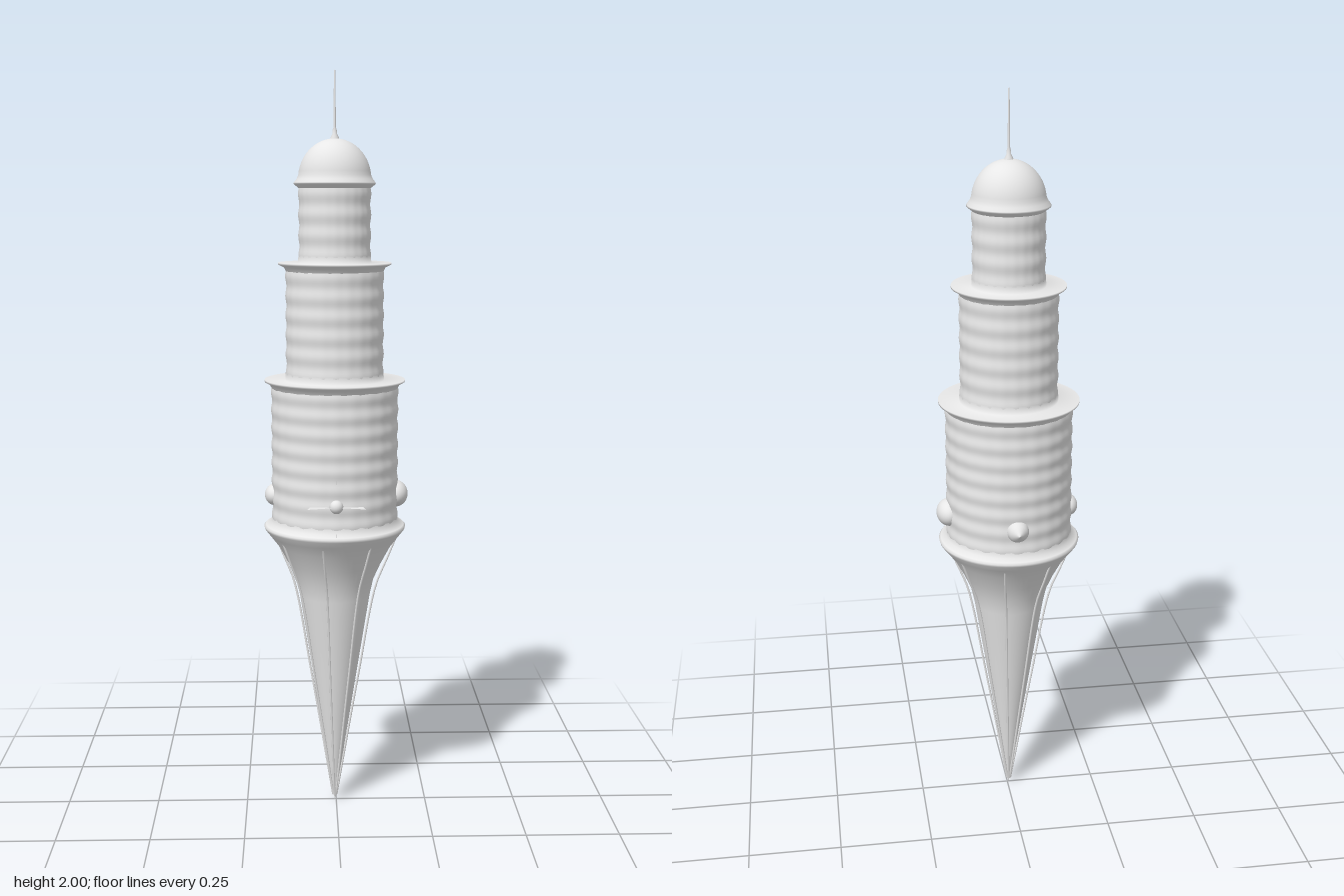
import * as THREE from 'three';
import { mergeVertices } from 'three/addons/utils/BufferGeometryUtils.js';

export function createModel() {
  const model = new THREE.Group();
  model.name = 'floatingTower';
  const tower = new THREE.Group();
  tower.name = 'tower';
  tower.position.x = -0.004;
  model.add(tower);

  const stone = new THREE.MeshStandardMaterial({ color: 0xededed, side: THREE.DoubleSide });
  stone.name = 'paleGrey';

  const add = (name, geometry, parent = tower) => {
    const mesh = new THREE.Mesh(geometry, stone);
    mesh.name = name;
    parent.add(mesh);
    return mesh;
  };
  const lathe = (name, points, segments = 64) =>
    add(name, new THREE.LatheGeometry(points.map(([r, y]) => new THREE.Vector2(r, y)), segments));

  // Wall with soft horizontal rings and shallow upright flutes
  const wall = (name, radius, y0, y1, rings) => {
    const points = [];
    const steps = rings * 8;
    for (let i = 0; i <= steps; i++) {
      const t = i / steps;
      const swell = 0.0016 * Math.cos(t * rings * Math.PI * 2);
      points.push(new THREE.Vector2(radius - 0.0016 - swell, y0 + (y1 - y0) * t));
    }
    let geometry = new THREE.LatheGeometry(points, 120);
    const p = geometry.attributes.position;
    for (let i = 0; i < p.count; i++) {
      const k = 1 + 0.003 * Math.cos(24 * Math.atan2(p.getX(i), p.getZ(i)));
      p.setX(i, p.getX(i) * k);
      p.setZ(i, p.getZ(i) * k);
    }
    geometry.deleteAttribute('uv');
    geometry.deleteAttribute('normal');
    geometry = mergeVertices(geometry, 1e-5);
    geometry.computeVertexNormals();
    add(name, geometry);
  };

  // Three stepped storeys
  wall('lowerStorey', 0.171, 0.8, 1.185, 8);
  wall('middleStorey', 0.131, 1.185, 1.495, 6);
  wall('upperStorey', 0.096, 1.495, 1.71, 4);

  // Thin balconies, curving softly into the storey above
  const balcony = (name, wallR, rimR, innerR, y) =>
    lathe(name, [[wallR - 0.002, y - 0.02], [wallR + 0.005, y - 0.007], [rimR, y],
      [rimR, y + 0.005], [innerR + 0.002, y + 0.003], [innerR + 0.001, y + 0.025]]);
  balcony('lowerBalcony', 0.17, 0.188, 0.13, 1.19);
  balcony('middleBalcony', 0.13, 0.15, 0.095, 1.5);

  // Flared keel tapering to a point, with a rounded shelf on top
  lathe('keel', [[0, 0], [0.004, 0.02], [0.028, 0.17], [0.061, 0.38], [0.096, 0.6], [0.106, 0.645],
    [0.126, 0.69], [0.153, 0.74], [0.176, 0.77], [0.19, 0.788], [0.192, 0.795], [0.187, 0.8],
    [0.172, 0.806], [0.17, 0.825]]);

  // Eight ribs running down the keel
  const ribCurve = new THREE.CatmullRomCurve3([
    [0.168, 0.765], [0.142, 0.7], [0.114, 0.63], [0.066, 0.37], [0.005, 0.015],
  ].map(([r, y]) => new THREE.Vector3(0, y, r)));
  for (let i = 0; i < 8; i++) {
    add('keelRib', new THREE.TubeGeometry(ribCurve, 24, 0.003, 6))
      .rotation.y = THREE.MathUtils.degToRad(-12 + i * 45);
  }

  // Dome flowing out into its eave
  const dome = [[0.094, 1.698], [0.108, 1.709], [0.107, 1.713], [0.1, 1.722]];
  for (let i = 1; i <= 16; i++) {
    const a = (i / 16) * Math.PI / 2;
    dome.push([0.096 * Math.cos(a), 1.722 + 0.104 * Math.sin(a)]);
  }
  lathe('dome', dome);

  // Finial and needle
  lathe('finial', [[0.012, 1.82], [0.011, 1.828], [0.006, 1.838], [0.006, 1.845], [0.003, 1.855],
    [0.0027, 1.92], [0.002, 1.998], [0, 2]], 16);

  // Oval pods on the two sides
  const pod = (name, x, z, sx, sy, sz) => {
    const mesh = add(name, new THREE.SphereGeometry(1, 32, 20));
    mesh.position.set(x, 0.88, z);
    mesh.scale.set(sx, sy, sz);
  };
  pod('leftPod', 0.165, -0.006, 0.034, 0.036, 0.048);
  pod('rightPod', -0.162, 0, 0.028, 0.029, 0.04);

  // Pointed cone at the back
  const nozzle = lathe('backNozzle', [[0.03, 0.155], [0.029, 0.17], [0.023, 0.181], [0.01, 0.193], [0, 0.201]], 24);
  nozzle.rotation.x = -Math.PI / 2;
  nozzle.position.y = 0.88;

  // Front propeller: hub and four thin blades that widen outwards
  const propeller = new THREE.Group();
  propeller.name = 'propeller';
  propeller.position.set(0, 0.88, 0);
  tower.add(propeller);
  const hub = add('propellerHub', new THREE.SphereGeometry(0.018, 20, 14), propeller);
  hub.position.z = 0.17;
  const bladeShape = new THREE.Shape([[0, 0.178], [0.07, 0.17], [0.076, 0.2], [0.03, 0.187]]
    .map(([r, z]) => new THREE.Vector2(r, z)));
  for (let i = 0; i < 4; i++) {
    const blade = new THREE.Group();
    blade.name = 'propellerBlade';
    blade.rotation.z = i * Math.PI / 2;
    propeller.add(blade);
    add('bladePlate', new THREE.ShapeGeometry(bladeShape), blade).rotation.x = Math.PI / 2;
  }

  return model;
}
